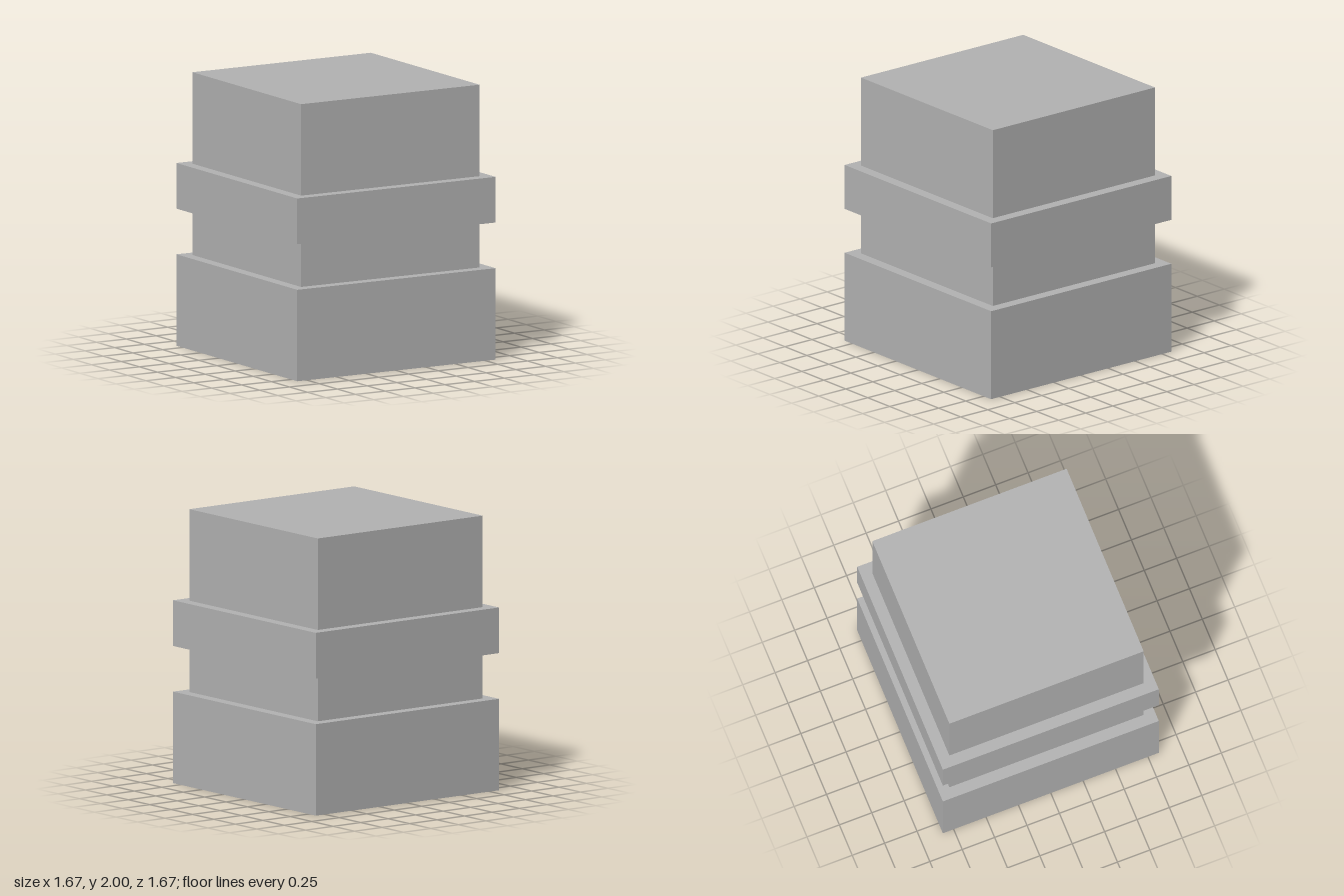
import * as THREE from 'three';

export function createModel() {
  const group = new THREE.Group();
  group.name = 'steppedBlock';
  const grey = new THREE.MeshStandardMaterial({ color: 0xb2b2b2 });
  grey.name = 'grey';

  // Square tiers stacked from the ground up: name, width, bottom, top
  const tiers = [
    ['base', 1.667, 0, 0.667],
    ['neck', 1.5, 0.667, 1],
    ['collar', 1.667, 1, 1.333],
    ['upperBlock', 1.5, 1.333, 2],
  ];
  for (const [name, width, bottom, top] of tiers) {
    const tier = new THREE.Mesh(new THREE.BoxGeometry(width, top - bottom, width), grey);
    tier.name = name;
    tier.position.y = (bottom + top) / 2;
    group.add(tier);
  }
  return group;
}
